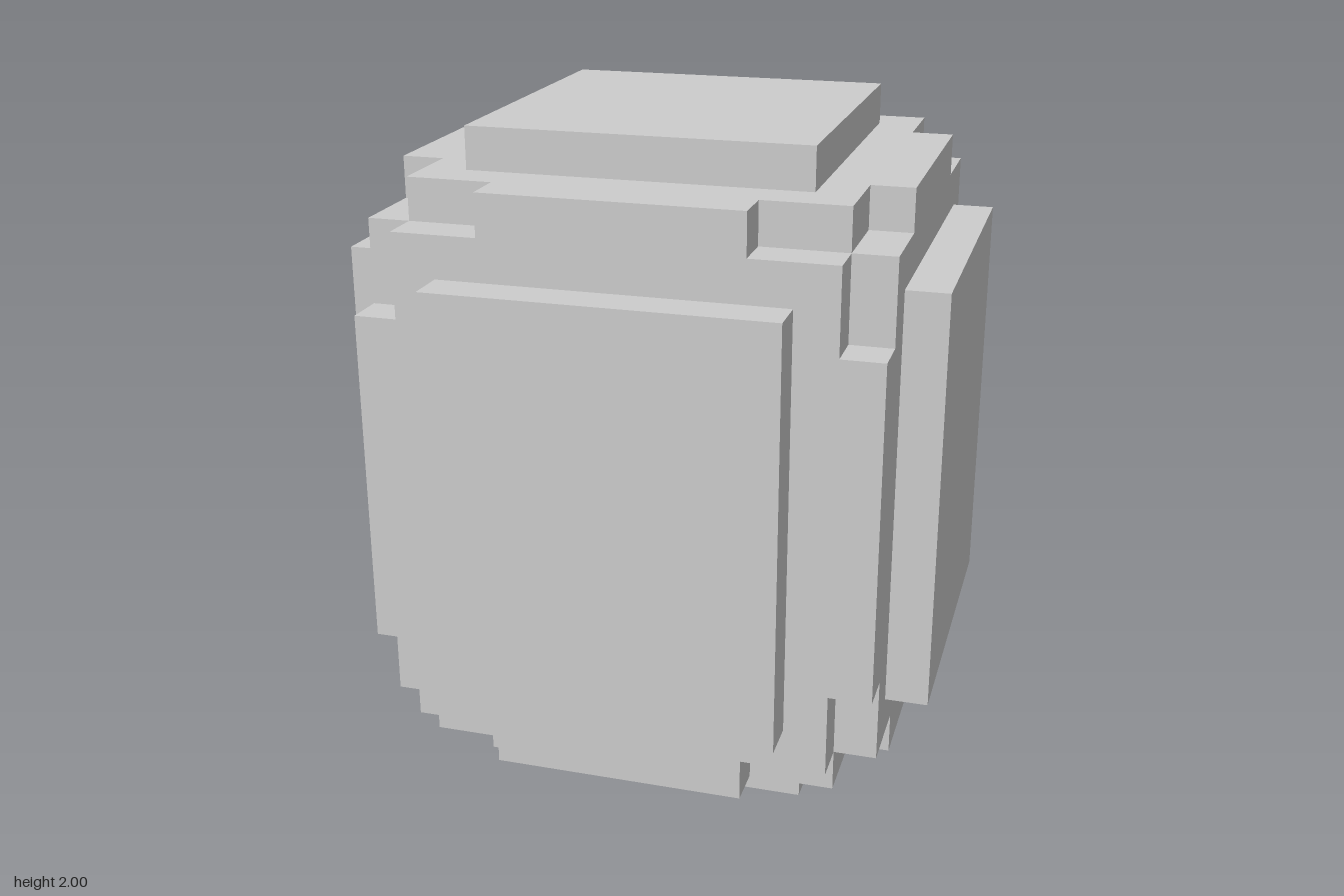
import * as THREE from 'three';

export function createModel() {
  const model = new THREE.Group();
  model.name = 'panelledBlock';
  const grey = new THREE.MeshStandardMaterial({ color: 0xcccccc });
  grey.name = 'light grey';

  const half = [0.75, 0.875, 0.75]; // half size of the core block
  const step = 0.125; // notch depth and panel thickness
  const reach = 0.375; // notch length along each edge, from the corner
  const axes = ['X', 'Y', 'Z'];

  // All positions are relative to the block's centre, at y = 1.
  function box(name, size, pos) {
    const mesh = new THREE.Mesh(new THREE.BoxGeometry(...size), grey);
    mesh.name = name;
    mesh.position.set(pos[0], pos[1] + 1, pos[2]);
    model.add(mesh);
  }

  for (let a = 0; a < 3; a++) {
    const b = (a + 1) % 3, c = (a + 2) % 3;

    // Core: one full-length block per axis, leaving the edges stepped in
    const coreSize = half.map((h, i) => 2 * (i === a ? h : h - step));
    box('core' + axes[a], coreSize, [0, 0, 0]);

    // Edge bars, stopping short of the corners to leave three-way notches
    const barSize = [step, step, step];
    barSize[a] = 2 * (half[a] - reach);
    for (const sb of [-1, 1]) {
      for (const sc of [-1, 1]) {
        const pos = [0, 0, 0];
        pos[b] = sb * (half[b] - step / 2);
        pos[c] = sc * (half[c] - step / 2);
        box('edgeBar' + axes[a], barSize, pos);
      }
    }

    // Raised panels on the two faces across this axis
    const panelSize = half.map((h) => 2 * (h - 0.25));
    panelSize[a] = step;
    for (const s of [-1, 1]) {
      const pos = [0, 0, 0];
      pos[a] = s * (half[a] + step / 2);
      box('facePanel' + axes[a], panelSize, pos);
    }
  }
  return model;
}
